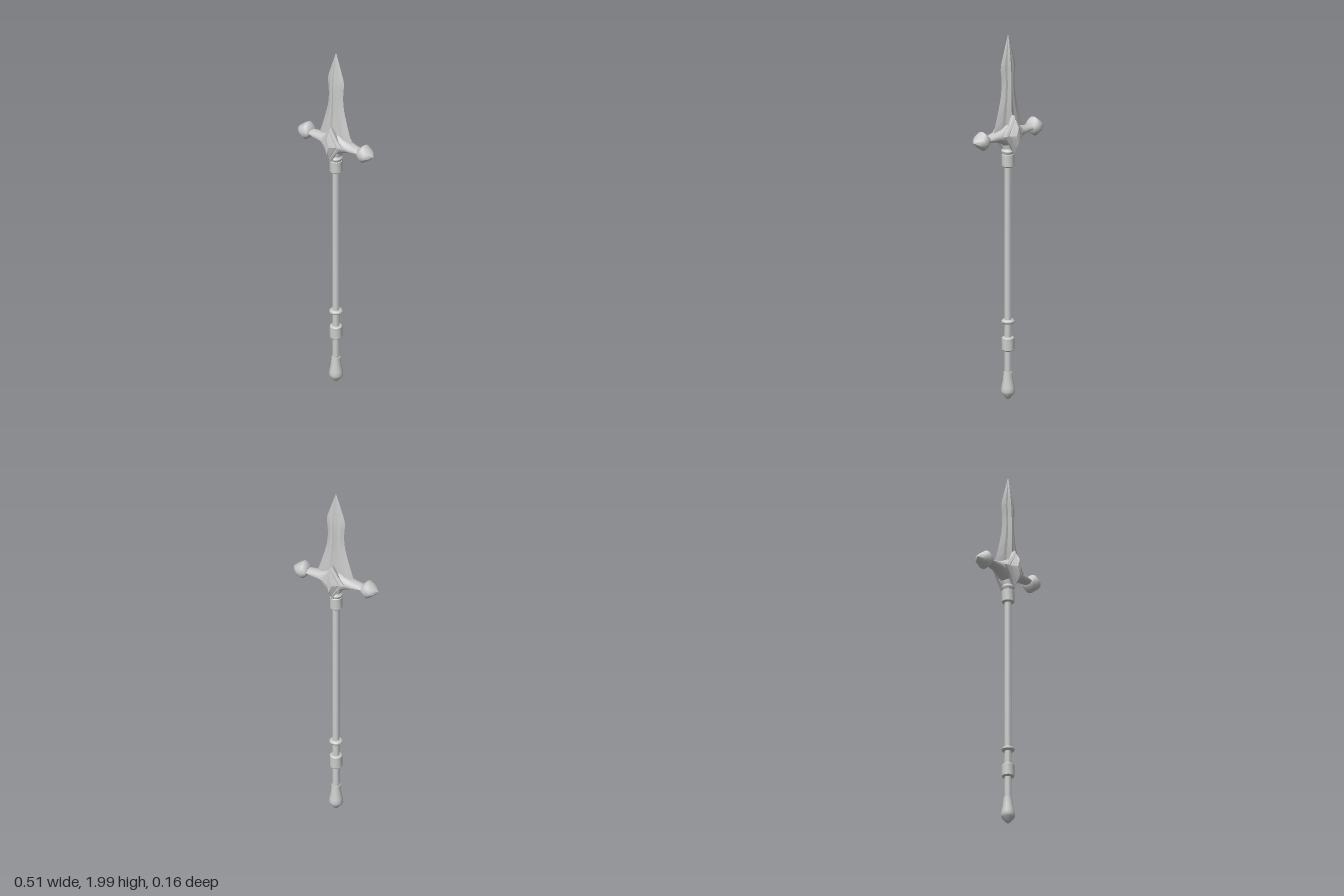
import * as THREE from 'three';
import { toCreasedNormals } from 'three/addons/utils/BufferGeometryUtils.js';

const material = new THREE.MeshStandardMaterial({ color: 0xcccccc });
const GUARD_Y = 1.465;

function part(name, geometry, crease = 0.6) {
  const mesh = new THREE.Mesh(toCreasedNormals(geometry, crease), material);
  mesh.name = name;
  return mesh;
}

// Skins closed cross-sections [{ w, pts: [[u, v], ...] }] laid along the given axis.
function loft(sections, axis) {
  const place = {
    x: (u, v, w) => [w, u, v],
    y: (u, v, w) => [v, w, u],
    z: (u, v, w) => [u, v, w],
  }[axis];
  const n = sections[0].pts.length;
  const positions = [], index = [];
  for (const s of sections) for (const [u, v] of s.pts) positions.push(...place(u, v, s.w));
  for (let i = 0; i < sections.length - 1; i++) {
    for (let j = 0; j < n; j++) {
      const k = (j + 1) % n;
      const a = i * n + j, b = i * n + k, c = b + n, d = a + n;
      index.push(a, b, c, a, c, d);
    }
  }
  const last = (sections.length - 1) * n;
  for (let j = 1; j < n - 1; j++) index.push(0, j + 1, j, last, last + j, last + j + 1);
  const g = new THREE.BufferGeometry();
  g.setAttribute('position', new THREE.Float32BufferAttribute(positions, 3));
  g.setIndex(index);
  g.computeVertexNormals();
  return g;
}

function ellipse(a, b, n = 16) {
  return Array.from({ length: n }, (_, i) => {
    const t = (i / n) * Math.PI * 2;
    return [a * Math.cos(t), b * Math.sin(t)];
  });
}

function turned(name, profile, crease) {
  const points = profile.map(([r, y]) => new THREE.Vector2(r, y));
  return part(name, new THREE.LatheGeometry(points, 16), crease);
}

// Bevelled collar from y0 to y1
function collar(name, r, y0, y1, bevel = 0.006) {
  return turned(name, [[0.001, y0], [r - bevel, y0], [r, y0 + bevel],
    [r, y1 - bevel], [r - bevel, y1], [0.001, y1]]);
}

// Blade with a raised spine and bevelled edges: y, half width, half thickness
function createBlade() {
  const stations = [
    [1.44, 0.113, 0.03], [1.49, 0.107, 0.029], [1.54, 0.09, 0.028], [1.61, 0.069, 0.027],
    [1.67, 0.054, 0.026], [1.73, 0.048, 0.026], [1.78, 0.05, 0.025], [1.82, 0.055, 0.023],
    [1.85, 0.051, 0.021], [1.92, 0.028, 0.014], [1.97, 0.011, 0.007], [2.0, 0.0008, 0.0008],
  ];
  const sections = stations.map(([w, x, z]) => ({
    w,
    pts: [[z, 0], [z * 0.55, x * 0.33], [z * 0.48, x * 0.6], [0, x],
      [-z * 0.48, x * 0.6], [-z * 0.55, x * 0.33], [-z, 0],
      [-z * 0.55, -x * 0.33], [-z * 0.48, -x * 0.6], [0, -x],
      [z * 0.48, -x * 0.6], [z * 0.55, -x * 0.33]],
  }));
  return part('blade', loft(sections, 'y'), 0.25);
}

// Crossguard with pointed knobs: x, half height, half depth
function createCrossguard() {
  const half = [
    [0.03, 0.06, 0.043], [0.06, 0.041, 0.04], [0.09, 0.028, 0.037], [0.13, 0.018, 0.033],
    [0.162, 0.015, 0.03], [0.165, 0.027, 0.036], [0.18, 0.043, 0.043], [0.193, 0.052, 0.045],
    [0.215, 0.036, 0.044], [0.235, 0.02, 0.03], [0.254, 0.0008, 0.0008],
  ];
  const stations = [...half.map(([x, y, z]) => [-x, y, z]).reverse(), [0, 0.08, 0.045], ...half];
  const sections = stations.map(([w, y, z]) => ({ w, pts: ellipse(y, z) }));
  const mesh = part('crossguard', loft(sections, 'x'), 0.7);
  mesh.position.y = GUARD_Y - 0.005;
  return mesh;
}

// Stacked diamond outlines: z, half width, half height; side points pinch inward
function diamond(name, layers, pinch) {
  const sections = layers.map(([w, x, y]) => ({
    w,
    pts: [[x, 0], [x * pinch, y * pinch], [0, y], [-x * pinch, y * pinch],
      [-x, 0], [-x * pinch, -y * pinch], [0, -y], [x * pinch, -y * pinch]],
  }));
  return part(name, loft(sections, 'z'), 0.2);
}

function createEmblem(name) {
  const group = new THREE.Group();
  group.name = name;
  group.add(
    diamond('diamondPlate', [[0.022, 0.055, 0.1], [0.04, 0.073, 0.104],
      [0.047, 0.073, 0.104], [0.054, 0.055, 0.088]], 0.46),
    diamond('gem', [[0.048, 0.047, 0.084], [0.058, 0.045, 0.08], [0.079, 0.013, 0.045]], 0.5),
  );
  group.position.y = GUARD_Y;
  return group;
}

export function createModel() {
  const model = new THREE.Group();
  model.name = 'spear';

  // Pole and its fittings, from the bottom up
  model.add(
    turned('pommel', [[0.001, 0.008], [0.012, 0.016], [0.034, 0.042], [0.038, 0.055],
      [0.035, 0.075], [0.027, 0.115], [0.023, 0.158], [0.001, 0.16]]),
    turned('shaft', [[0.019, 0.14], [0.019, 1.4]]),
    collar('lowerCollar', 0.033, 0.275, 0.35),
    collar('gripRing', 0.035, 0.424, 0.446, 0.008),
    collar('upperCollar', 0.033, 1.28, 1.355),
    turned('neck', [[0.02, 1.34], [0.034, 1.358], [0.036, 1.368], [0.028, 1.38], [0.036, 1.42]]),
  );

  // Head
  const back = createEmblem('backEmblem');
  back.rotation.y = Math.PI;
  model.add(createBlade(), createCrossguard(), createEmblem('frontEmblem'), back);
  return model;
}
